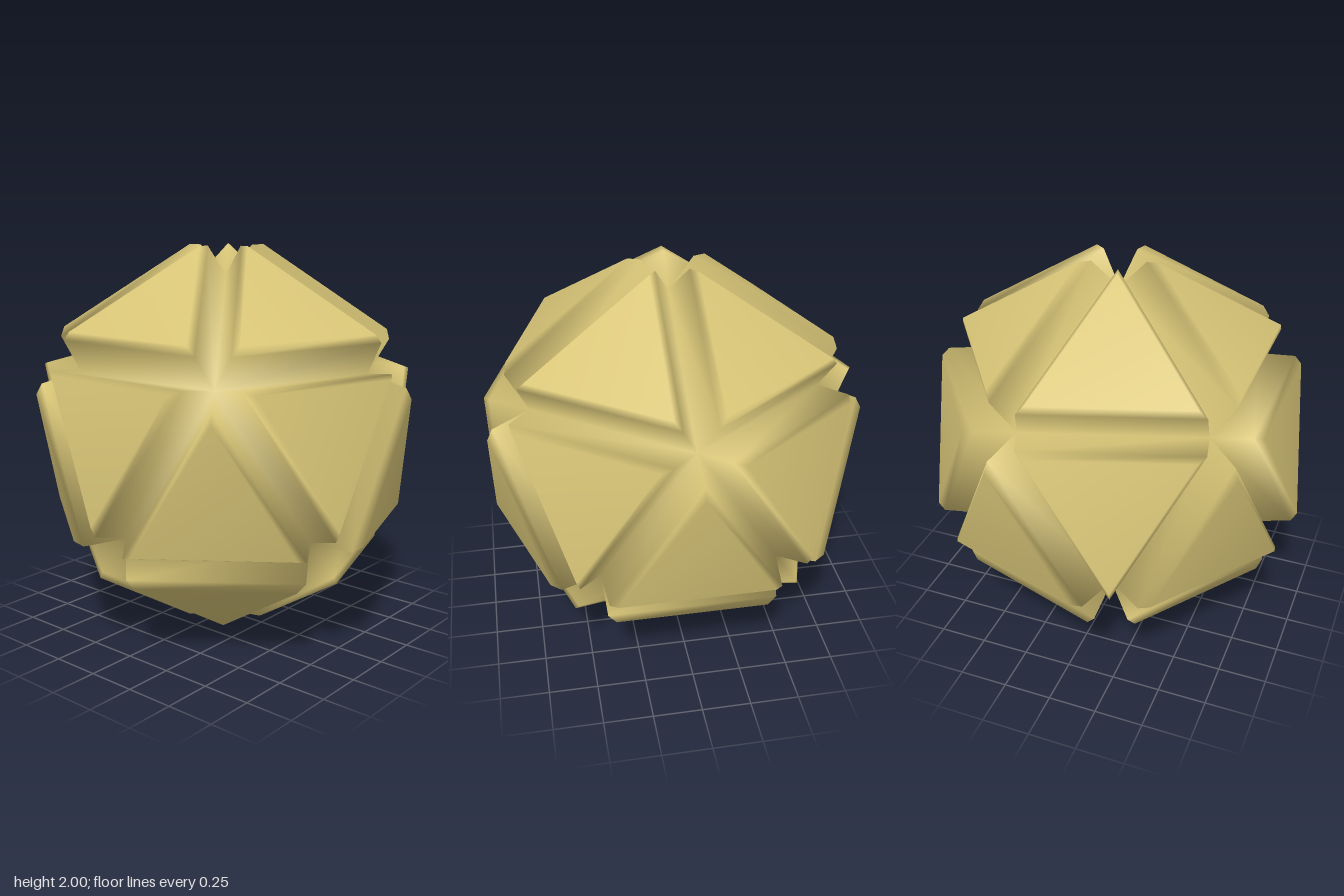
import * as THREE from 'three';
import { mergeVertices } from 'three/addons/utils/BufferGeometryUtils.js';

const RADIUS = 0.85; // corner radius of the inner icosahedron, at the bottom of the grooves

// Cross-sections of a raised plate: distance from the centre, triangle inradius
const SECTIONS = [
  { height: 0.88, inradius: 0.248 },  // top of the flank
  { height: 0.918, inradius: 0.224 }, // edge of the cap, after the bevel
];

// Point on a ring of five corners
function ringPoint(step, offset, y, radius) {
  const a = ((step + offset) * Math.PI * 2) / 5;
  return new THREE.Vector3(Math.cos(a) * radius, y, Math.sin(a) * radius);
}

// The twenty triangles of the icosahedron
function icosahedronFaces() {
  const y = RADIUS / Math.sqrt(5);
  const top = new THREE.Vector3(0, RADIUS, 0);
  const bottom = new THREE.Vector3(0, -RADIUS, 0);
  const upper = (k) => ringPoint(k % 5, 0, y, 2 * y);
  const lower = (k) => ringPoint(k % 5, 0.5, -y, 2 * y);
  const faces = [];
  for (let k = 0; k < 5; k++) {
    faces.push([top, upper(k + 1), upper(k)]);
    faces.push([upper(k), upper(k + 1), lower(k)]);
    faces.push([upper(k + 1), lower(k + 1), lower(k)]);
    faces.push([bottom, lower(k), lower(k + 1)]);
  }
  return faces;
}

// Adds one plate: flank, bevel and flat cap
function addPlate(positions, corners) {
  const tri = (...pts) => pts.forEach((p) => positions.push(p.x, p.y, p.z));
  const centre = new THREE.Vector3();
  corners.forEach((c) => centre.addScaledVector(c, 1 / 3));
  const normal = centre.clone().normalize();
  const loops = [corners];
  for (const { height, inradius } of SECTIONS) {
    loops.push(corners.map((c) => c.clone().sub(centre)
      .setLength(inradius * 2).addScaledVector(normal, height)));
  }
  for (let s = 0; s < loops.length - 1; s++) {
    for (let i = 0; i < 3; i++) {
      const j = (i + 1) % 3;
      const a = loops[s][i], b = loops[s][j], c = loops[s + 1][j], d = loops[s + 1][i];
      tri(a, b, c);
      tri(a, c, d);
    }
  }
  tri(...loops[loops.length - 1]);
}

export function createModel() {
  const group = new THREE.Group();
  group.name = 'groovedIcosahedron';

  const gold = new THREE.MeshStandardMaterial({ color: 0xd8c577 });
  gold.name = 'paleGold';

  const positions = [];
  icosahedronFaces().forEach((corners) => {
    // Keep the corner order counter-clockwise seen from outside
    const [a, b, c] = corners;
    const n = b.clone().sub(a).cross(c.clone().sub(a));
    addPlate(positions, n.dot(a) > 0 ? corners : [a, c, b]);
  });

  // Weld the plates along the grooves so the shading runs smoothly across them
  let geometry = new THREE.BufferGeometry();
  geometry.setAttribute('position', new THREE.Float32BufferAttribute(positions, 3));
  geometry = mergeVertices(geometry, 1e-4);
  geometry.computeVertexNormals();

  const plates = new THREE.Mesh(geometry, gold);
  plates.name = 'raisedTriangularPlates';
  plates.position.y = 1;
  group.add(plates);
  return group;
}
